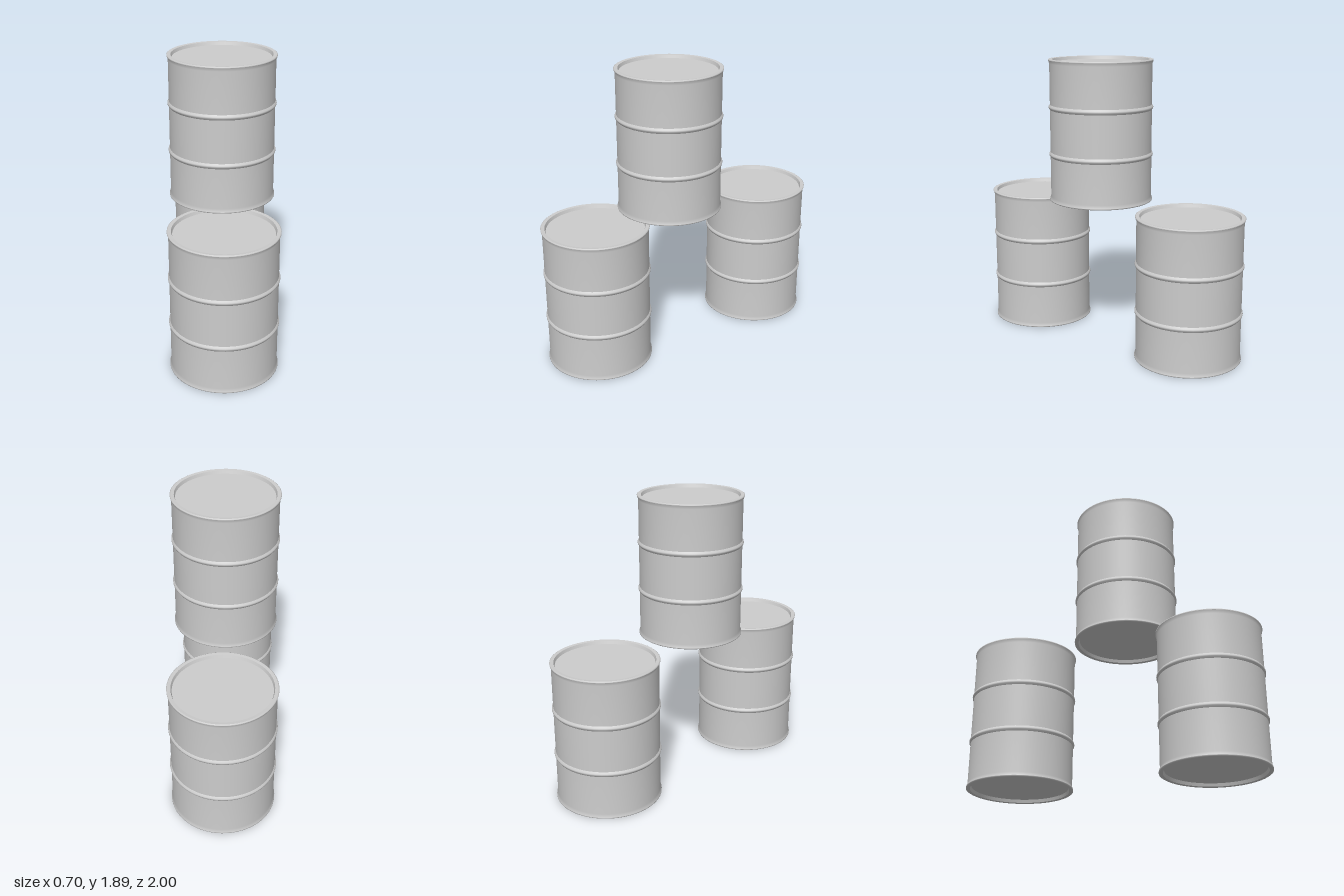
import * as THREE from 'three';

const steel = new THREE.MeshStandardMaterial({ color: 0xcccccc });
steel.name = 'grey steel';

// One smooth ring of the barrel; separate rings keep the edges between them sharp
function ring(name, points) {
  const profile = points.map(([r, y]) => new THREE.Vector2(r, y));
  const mesh = new THREE.Mesh(new THREE.LatheGeometry(profile, 64), steel);
  mesh.name = name;
  return mesh;
}

function createBarrel(name) {
  const H = 0.945, R = 0.34, rim = 0.348, lid = 0.315, recess = 0.022;
  const barrel = new THREE.Group();
  barrel.name = name;

  // Profiles run from the bottom centre, up the outside, to the top centre
  barrel.add(
    ring('bottomPlate', [[0, recess], [lid, recess]]),
    ring('bottomRimInside', [[lid, recess], [0.322, 0.002]]),
    ring('bottomRim', [[0.322, 0.002], [0.343, 0]]),
    ring('bottomRimEdge', [[0.343, 0], [rim, 0.003], [rim, 0.008]]),
    ring('lowerWall', [[rim, 0.008], [R, 0.03], [R, 0.298]]),
    ring('middleWall', [[R, 0.332], [R, 0.613]]),
    ring('upperWall', [[R, 0.647], [R, H - 0.03], [rim, H - 0.008]]),
    ring('topRimEdge', [[rim, H - 0.008], [rim, H - 0.003], [0.343, H]]),
    ring('topRim', [[0.343, H], [0.322, H - 0.002]]),
    ring('topRimInside', [[0.322, H - 0.002], [lid, H - recess]]),
    ring('topLid', [[lid, H - recess], [0, H - recess]])
  );

  // Rolled hoops
  for (const y of [0.315, 0.63]) {
    barrel.add(ring('hoop', [[R, y - 0.017], [rim, y - 0.006], [rim + 0.001, y], [rim, y + 0.006], [R, y + 0.017]]));
  }
  return barrel;
}

export function createModel() {
  const model = new THREE.Group();
  model.name = 'barrelStack';
  for (const [name, y, z] of [['frontBarrel', 0, 0.651], ['backBarrel', 0, -0.651], ['topBarrel', 0.948, 0.085]]) {
    const barrel = createBarrel(name);
    barrel.position.set(0, y, z);
    model.add(barrel);
  }
  return model;
}
